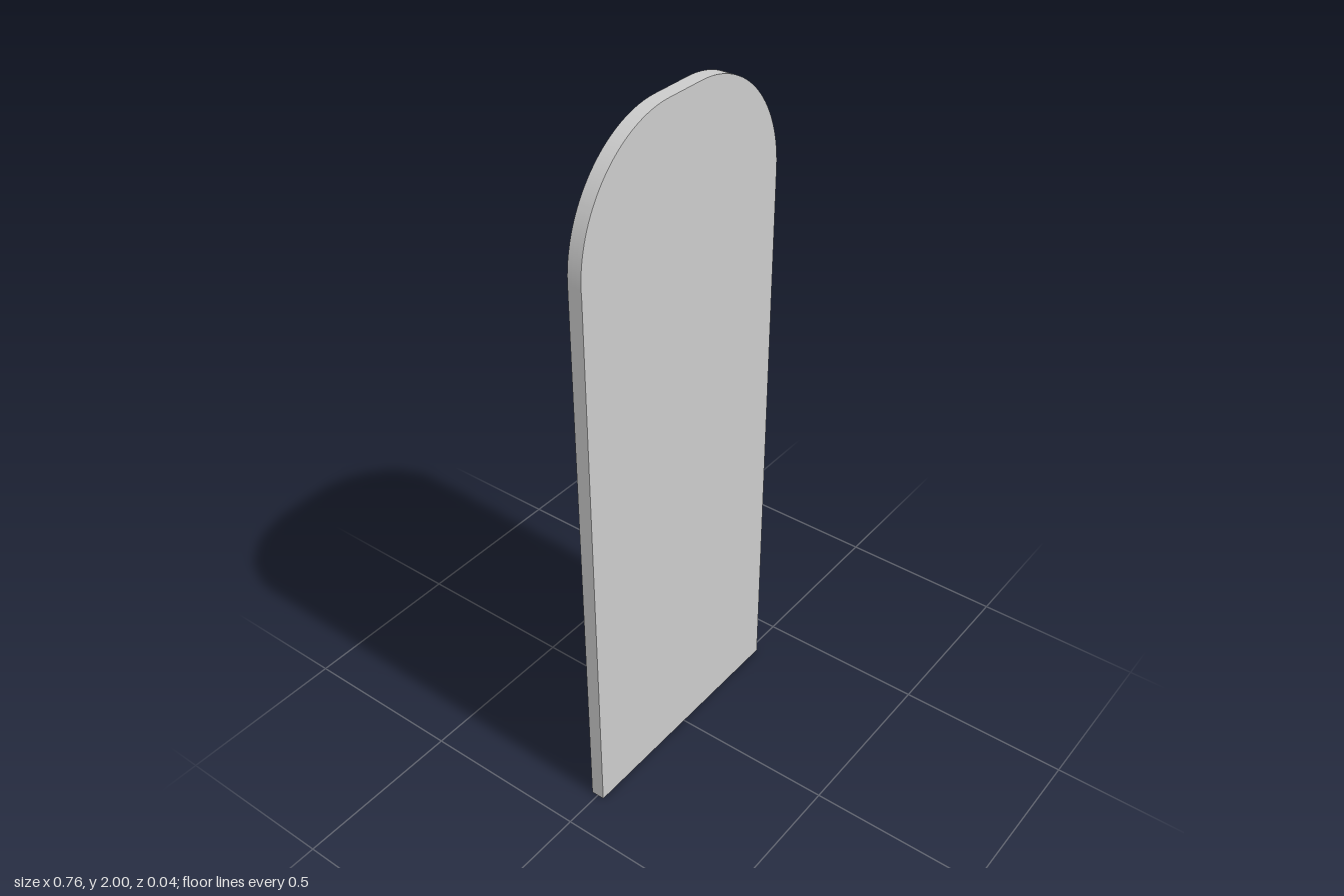
import * as THREE from 'three';
import { toCreasedNormals } from 'three/addons/utils/BufferGeometryUtils.js';

const W = 0.38, TOP = 2, SPRING = 1.66, BASE = 1.647, D = 0.02; // half width, heights, half depth
const FLAT = 0.06;                                              // half width of the flat crown
const MAIN = { x: 0, y: 1.774, r: 0.144 };                      // centre lobe
const SIDE = { x: 0.17, y: 1.7, r: 0.115 };                     // side lobe, mirrored

// Outer outline from the lower -x corner over the crown to the lower +x corner
function archOutline(bottom) {
  const s = new THREE.Shape();
  s.moveTo(-W, bottom);
  s.lineTo(-W, SPRING);
  s.absellipse(-FLAT, SPRING, W - FLAT, TOP - SPRING, Math.PI, Math.PI / 2, true);
  s.lineTo(FLAT, TOP);
  s.absellipse(FLAT, SPRING, W - FLAT, TOP - SPRING, Math.PI / 2, 0, true);
  s.lineTo(W, bottom);
  return s;
}

// Arch head with a trefoil opening shrunk by an inset
function trefoilHead(inset) {
  const r0 = MAIN.r - inset, r1 = SIDE.r - inset;
  // Cusp: the upper crossing of the centre and side circles
  const dx = SIDE.x - MAIN.x, dy = SIDE.y - MAIN.y, d = Math.hypot(dx, dy);
  const a = (r0 * r0 - r1 * r1 + d * d) / (2 * d), h = Math.sqrt(r0 * r0 - a * a);
  const cx = MAIN.x + (a * dx - h * dy) / d, cy = MAIN.y + (a * dy + h * dx) / d;
  const foot = Math.asin((BASE - SIDE.y) / r1);
  const sideCusp = Math.atan2(cy - SIDE.y, cx - SIDE.x);
  const mainCusp = Math.atan2(cy - MAIN.y, cx - MAIN.x);

  const s = archOutline(BASE);
  s.absarc(SIDE.x, SIDE.y, r1, foot, sideCusp, false);
  s.absarc(MAIN.x, MAIN.y, r0, mainCusp, Math.PI - mainCusp, false);
  s.absarc(-SIDE.x, SIDE.y, r1, Math.PI - sideCusp, Math.PI - foot, false);
  s.lineTo(-W, BASE);
  return s;
}

export function createModel() {
  const group = new THREE.Group();
  const solid = new THREE.MeshStandardMaterial({ color: 0xcccccc });
  const thin = new THREE.MeshStandardMaterial({ color: 0xcccccc, side: THREE.DoubleSide });
  const add = (name, geometry, material) => {
    const mesh = new THREE.Mesh(geometry, material);
    mesh.name = name;
    group.add(mesh);
    return mesh;
  };

  // Flat front sheet
  add('frontPanel', new THREE.ShapeGeometry(archOutline(0), 24), thin).position.z = D;

  // Thin side returns below the arch head
  for (const side of [-1, 1]) {
    const wall = add(side > 0 ? 'leftReturn' : 'rightReturn', new THREE.PlaneGeometry(2 * D, BASE), thin);
    wall.rotation.y = side * Math.PI / 2;
    wall.position.set(side * W, BASE / 2, 0);
  }

  // Stepped trefoil moulding, narrowing from the back towards the front sheet
  const steps = 3, depth = 2 * D / steps;
  for (let i = 0; i < steps; i++) {
    const geometry = new THREE.ExtrudeGeometry(trefoilHead(i * 0.013), {
      depth: i === steps - 1 ? depth - 0.0005 : depth, bevelEnabled: false, curveSegments: 24,
    });
    const layer = add('archHeadStep' + (i + 1), toCreasedNormals(geometry, 0.5), solid);
    layer.position.z = -D + i * depth;
  }
  return group;
}
